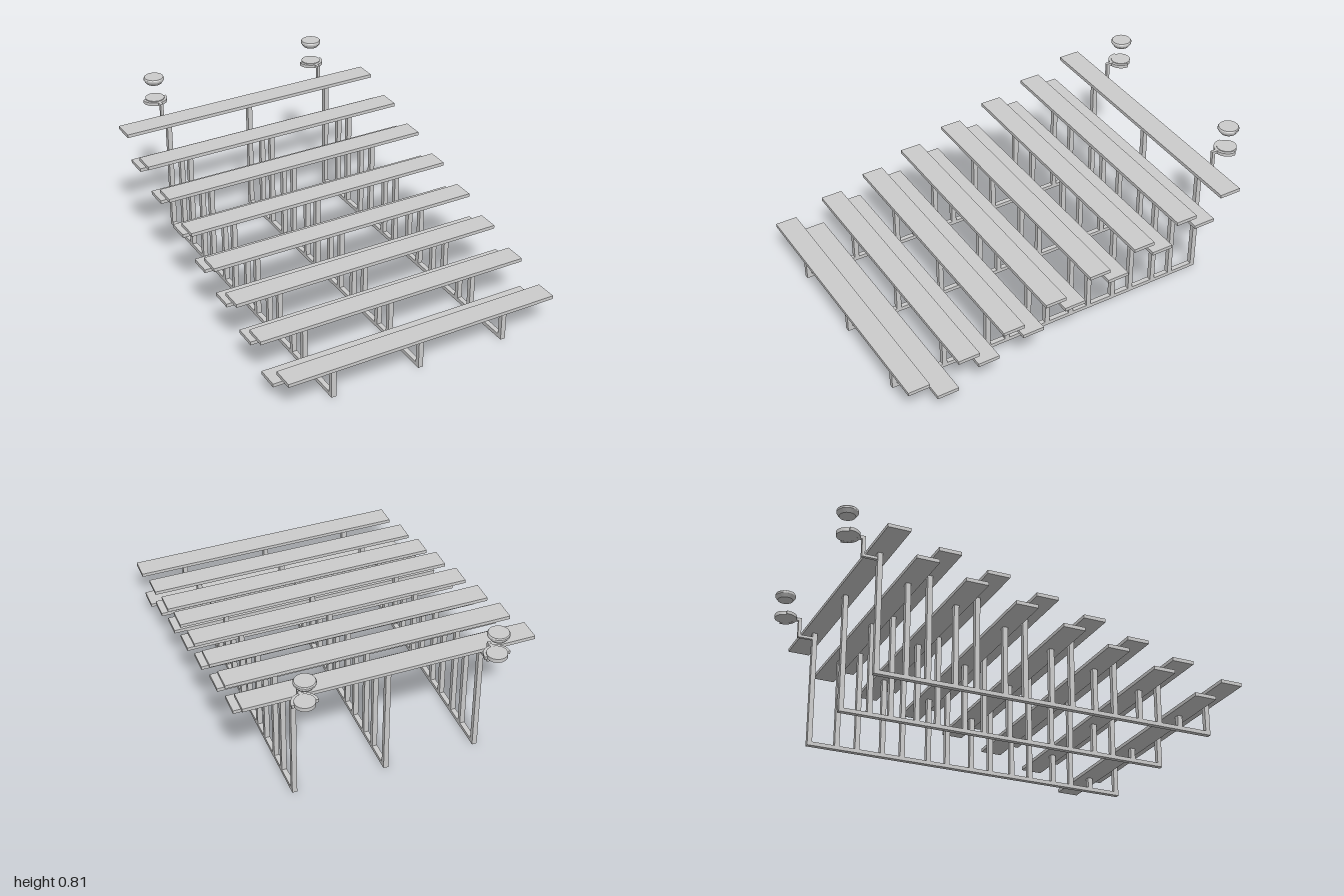
import * as THREE from 'three';

export function createModel() {
  const model = new THREE.Group();
  const mat = new THREE.MeshStandardMaterial({ color: 0xcccccc, side: THREE.DoubleSide });
  const flat = new THREE.MeshStandardMaterial({ color: 0xcccccc, side: THREE.DoubleSide, flatShading: true });

  const add = (name, geometry, x, y, z, material = mat, parent = model) => {
    const mesh = new THREE.Mesh(geometry, material);
    mesh.name = name;
    mesh.position.set(x, y, z);
    parent.add(mesh);
    return mesh;
  };
  const box = (name, w, h, d, x, y, z, parent) =>
    add(name, new THREE.BoxGeometry(w, h, d), x, y, z, mat, parent);

  // Rows: [z, plank centre height]; seats and footboards alternate
  const seats = [[0.945, 0.179], [0.68, 0.245], [0.438, 0.306], [0.208, 0.373],
    [-0.037, 0.436], [-0.286, 0.499], [-0.53, 0.562], [-0.782, 0.627]];
  const footboards = [[0.795, 0.083], [0.575, 0.179], [0.332, 0.245], [0.101, 0.306],
    [-0.142, 0.373], [-0.394, 0.436], [-0.638, 0.499]];
  const frameX = [-0.469, 0, 0.467];
  const thick = 0.018, post = 0.025, rail = 0.02;

  const addRow = (name, z, y) => {
    box(name + 'Plank', 1.445, thick, 0.113, 0, y, z);
    const top = y - thick / 2;
    // The first and last posts stand at the ends of the base rail
    const postZ = z > 0.9 ? 0.952 : z;
    for (const x of frameX) box(name + 'Post', post, top, post, x, top / 2, postZ);
  };
  seats.forEach(([z, y]) => addRow('seat', z, y));
  footboards.forEach(([z, y]) => addRow('footboard', z, y));

  // Base rails along the ground
  for (const x of frameX) box('baseRail', post, rail, 1.757, x, rail / 2, 0.085);

  // Half-ring clasp around a holder disc
  const clasp = new THREE.Shape();
  clasp.absarc(0, 0, 0.064, Math.PI - 0.1, Math.PI * 2 + 0.1, false);
  clasp.absarc(0, 0, 0.05, Math.PI * 2 + 0.1, Math.PI - 0.1, true);
  const claspGeometry = new THREE.ExtrudeGeometry(clasp, { depth: 0.017, bevelEnabled: false, curveSegments: 20 });
  claspGeometry.rotateX(-Math.PI / 2);

  // Tapered bowl with a bevelled rim
  const bowlProfile = [[0, 0.778], [0.04, 0.778], [0.053, 0.797], [0.053, 0.806], [0.049, 0.812], [0, 0.812]]
    .map(([r, y]) => new THREE.Vector2(r, y));

  // Rear brackets with holder and bowl
  for (const x of [frameX[0], frameX[2]]) {
    const bracket = new THREE.Group();
    bracket.name = 'rearBracket';
    bracket.position.x = x;
    model.add(bracket);
    box('lowerArm', 0.016, 0.014, 0.085, 0, 0.59, -0.829, bracket);
    box('upright', 0.016, 0.108, 0.016, 0, 0.637, -0.864, bracket);
    box('upperArm', 0.016, 0.016, 0.046, 0, 0.682, -0.878, bracket);
    add('clasp', claspGeometry, 0, 0.672, -0.947, mat, bracket);
    add('holderDisc', new THREE.CylinderGeometry(0.05, 0.05, 0.02, 24), 0, 0.683, -0.947, mat, bracket);
    add('bowl', new THREE.LatheGeometry(bowlProfile, 24), 0, 0, -0.947, flat, bracket);
  }
  return model;
}
